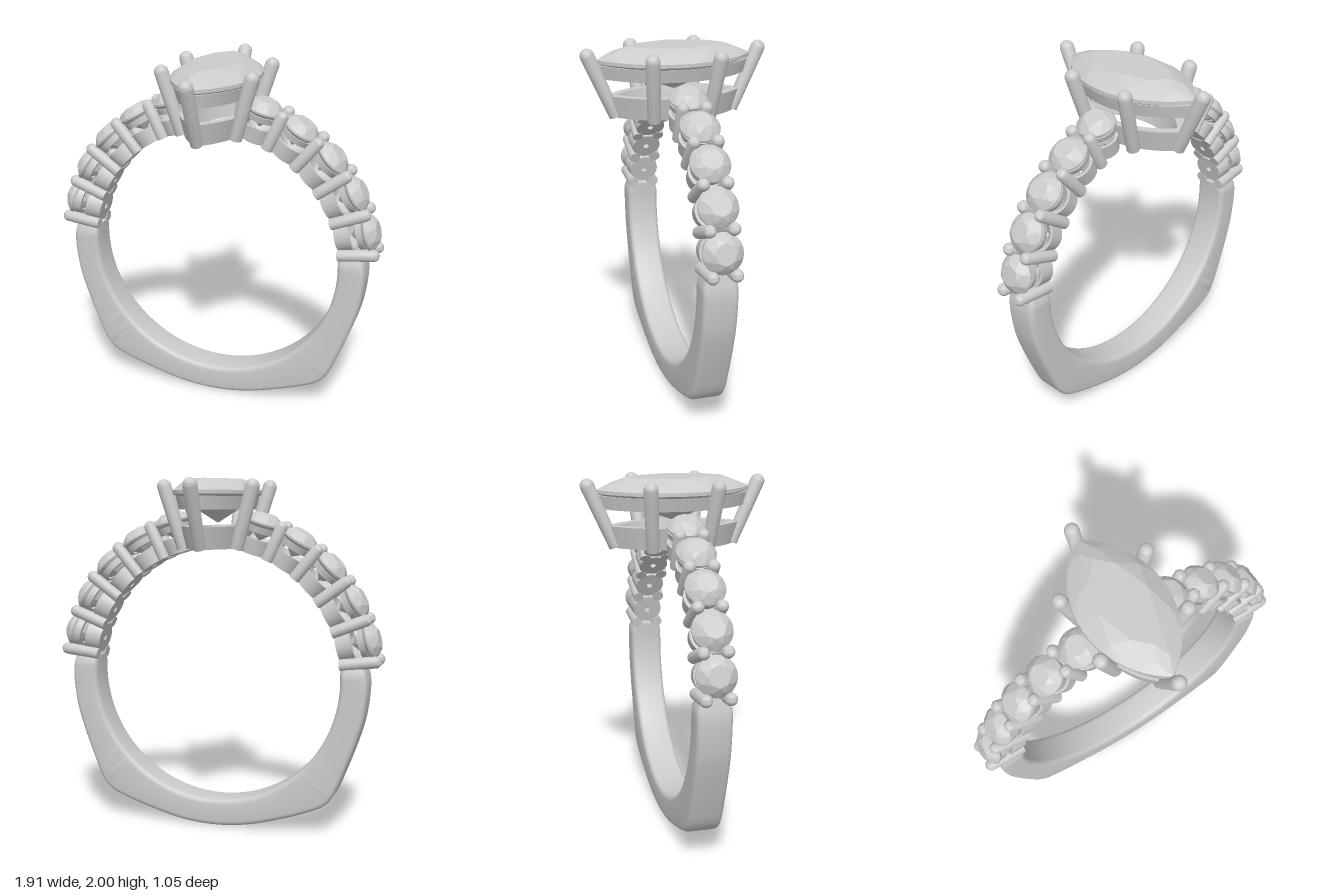
import * as THREE from 'three';
import { toCreasedNormals } from 'three/addons/utils/BufferGeometryUtils.js';
import { ConvexGeometry } from 'three/addons/geometries/ConvexGeometry.js';

const V = (x, y, z) => new THREE.Vector3(x, y, z);
const CENTRE = V(0, 0.885, 0), INNER = 0.73, STEP = 14.5, FIRST = 7.4;
const UP = V(0, 1, 0);
const metal = new THREE.MeshStandardMaterial({ color: 0xcccccc });
const gem = new THREE.MeshStandardMaterial({ color: 0xcccccc, flatShading: true });

function add(parent, name, geometry, material = metal) {
  const mesh = new THREE.Mesh(geometry, material);
  mesh.name = name;
  parent.add(mesh);
  return mesh;
}

// Skin over a row of closed cross-sections, either joined in a loop or capped
function loft(sections, loop) {
  const n = sections[0].length, m = sections.length, index = [];
  for (let i = 0; i < (loop ? m : m - 1); i++) {
    for (let j = 0; j < n; j++) {
      const k = (i + 1) % m, l = (j + 1) % n;
      const a = i * n + j, b = k * n + j, c = k * n + l, d = i * n + l;
      index.push(a, d, c, a, c, b);
    }
  }
  if (!loop) {
    const e = (m - 1) * n;
    for (let j = 1; j < n - 1; j++) index.push(0, j + 1, j, e, e + j, e + j + 1);
  }
  const geo = new THREE.BufferGeometry().setFromPoints(sections.flat());
  geo.setIndex(index);
  return toCreasedNormals(geo, 0.7);
}

// Point on a pointed oval of half length a (z) and half width b (x)
function marquise(t, a, b, y) {
  const R = (a * a + b * b) / (2 * b), z = a * Math.sin(t);
  const x = Math.max(0, Math.sqrt(R * R - z * z) - (R - b));
  return V(Math.cos(t) < 0 ? -x : x, y, z);
}

function ringOf(n, offset, fn) {
  return Array.from({ length: n }, (_, i) => fn(((i + offset) / n) * Math.PI * 2));
}

// Lower shank: rounded section swept along the squared-off outer profile
function shankGeometry() {
  const half = [[0.865, 0.985], [0.882, 0.88], [0.866, 0.7], [0.836, 0.58], [0.757, 0.36],
    [0.695, 0.22], [0.645, 0.165], [0.56, 0.125], [0.4, 0.07], [0.2, 0.018]];
  const pts = half.map(([x, y]) => V(x, y, 0));
  pts.push(V(0, 0, 0), ...half.map(([x, y]) => V(-x, y, 0)).reverse());
  const path = new THREE.CatmullRomCurve3(pts, false, 'centripetal').getSpacedPoints(120);
  const sections = path.map((outer) => {
    const dir = outer.clone().sub(CENTRE);
    const thick = dir.length() - INNER;
    dir.normalize();
    const w = 0.095 - 0.02 * THREE.MathUtils.smoothstep(outer.y, 0.92, 0.99);
    const section = [], r = 0.028;
    for (let q = 0; q < 4; q++) {
      const cz = (q === 1 || q === 2 ? 1 : -1) * (w - r);
      const cr = q < 2 ? thick - r : r;
      for (let s = 0; s <= 4; s++) {
        const ang = Math.PI - (q + s / 4) * Math.PI / 2;
        const p = CENTRE.clone().addScaledVector(dir, INNER + cr + r * Math.sin(ang));
        p.z = cz + r * Math.cos(ang);
        section.push(p);
      }
    }
    return section;
  });
  return loft(sections, false);
}

// Round-tipped prong with a flat foot
function prong(parent, name, from, to, rFoot, rTip) {
  const len = from.distanceTo(to);
  const profile = [new THREE.Vector2(0, 0), new THREE.Vector2(rFoot, 0)];
  for (let i = 0; i <= 6; i++) {
    const a = (i / 6) * Math.PI / 2;
    profile.push(new THREE.Vector2(i === 6 ? 0 : rTip * Math.cos(a), len - rTip + rTip * Math.sin(a)));
  }
  const mesh = add(parent, name, toCreasedNormals(new THREE.LatheGeometry(profile, 20), 0.7));
  mesh.position.copy(from);
  mesh.quaternion.setFromUnitVectors(UP, to.clone().sub(from).normalize());
}

// Closed ring of rectangular section from a list of [radius, height]
const turned = (points) =>
  toCreasedNormals(new THREE.LatheGeometry(points.map(([r, y]) => new THREE.Vector2(r, y)), 32), 0.6);

// Round faceted side stone, heights measured from the inner circle
function roundStone() {
  const ring = (n, off, r, y) => ringOf(n, off, (t) => V(r * Math.cos(t), y, r * Math.sin(t)));
  return new ConvexGeometry([
    ...ring(8, 0, 0.058, 0.235), ...ring(8, 0.5, 0.088, 0.214),
    ...ring(32, 0, 0.108, 0.188), ...ring(32, 0, 0.108, 0.177),
    ...ring(8, 0, 0.06, 0.128), V(0, 0.075, 0),
  ]);
}

// Pointed-oval centre stone
function centreStone() {
  const ring = (n, off, a, b, y) => ringOf(n, off, (t) => marquise(t, a, b, y));
  return new ConvexGeometry([
    ...ring(8, 0, 0.27, 0.14, 2.0), ...ring(8, 0.5, 0.37, 0.2, 1.972),
    ...ring(48, 0, 0.435, 0.24, 1.935), ...ring(48, 0, 0.435, 0.24, 1.915),
    ...ring(8, 0, 0.2, 0.11, 1.825), V(0, 1.755, 0),
  ]);
}

// Pointed-oval rail; bottom and top are [half length, half width, y]
function railGeometry(bottom, top, wall) {
  return loft(ringOf(64, 0, (t) => [
    marquise(t, ...bottom),
    marquise(t, ...top),
    marquise(t, top[0] - wall * 1.4, top[1] - wall, top[2]),
    marquise(t, bottom[0] - wall * 1.4, bottom[1] - wall, bottom[2]),
  ]), true);
}

export function createModel() {
  const ring = new THREE.Group();
  ring.name = 'ring';
  add(ring, 'shank', shankGeometry());

  // Side stones with their cups, seats and shared prongs
  const cup = turned([[0.018, 0], [0.086, 0], [0.097, 0.09], [0.082, 0.09], [0.018, 0.03], [0.018, 0]]);
  const seat = turned([[0.072, 0.125], [0.092, 0.125], [0.1, 0.16], [0.08, 0.16], [0.072, 0.125]]);
  const stone = roundStone();
  for (const side of [1, -1]) {
    const shoulder = new THREE.Group();
    shoulder.name = side > 0 ? 'leftShoulder' : 'rightShoulder';
    ring.add(shoulder);
    const radial = (deg) => {
      const a = THREE.MathUtils.degToRad(deg);
      return V(side * Math.cos(a), Math.sin(a), 0);
    };
    for (let i = 0; i < 5; i++) {
      const dir = radial(FIRST + STEP * (i + 0.5));
      const setting = new THREE.Group();
      setting.name = 'sideSetting';
      setting.position.copy(CENTRE).addScaledVector(dir, INNER);
      setting.quaternion.setFromUnitVectors(UP, dir);
      add(setting, 'cup', cup);
      add(setting, 'seat', seat);
      add(setting, 'sideStone', stone, gem);
      shoulder.add(setting);

      const out = radial(FIRST + STEP * i);
      for (const z of [0.064, -0.064]) {
        const foot = CENTRE.clone().addScaledVector(out, INNER).setZ(z);
        const tip = CENTRE.clone().addScaledVector(out, 0.965).setZ(z);
        prong(shoulder, 'sharedProng', foot, tip, 0.033, 0.034);
      }
    }
  }

  // Head: two rails, six leaning prongs and the centre stone
  const head = new THREE.Group();
  head.name = 'head';
  ring.add(head);
  add(head, 'lowerRail', railGeometry([0.35, 0.165, 1.615], [0.385, 0.195, 1.738], 0.045));
  add(head, 'upperRail', railGeometry([0.41, 0.205, 1.83], [0.425, 0.225, 1.903], 0.045));
  add(head, 'centreStone', centreStone(), gem);
  for (const s of [1, -1]) {
    prong(head, 'endProng', V(0, 1.62, s * 0.335), V(0, 1.995, s * 0.5), 0.034, 0.04);
    for (const x of [1, -1]) {
      prong(head, 'sideProng', V(x * 0.155, 1.615, s * 0.155), V(x * 0.265, 1.995, s * 0.19), 0.036, 0.04);
    }
  }
  return ring;
}
